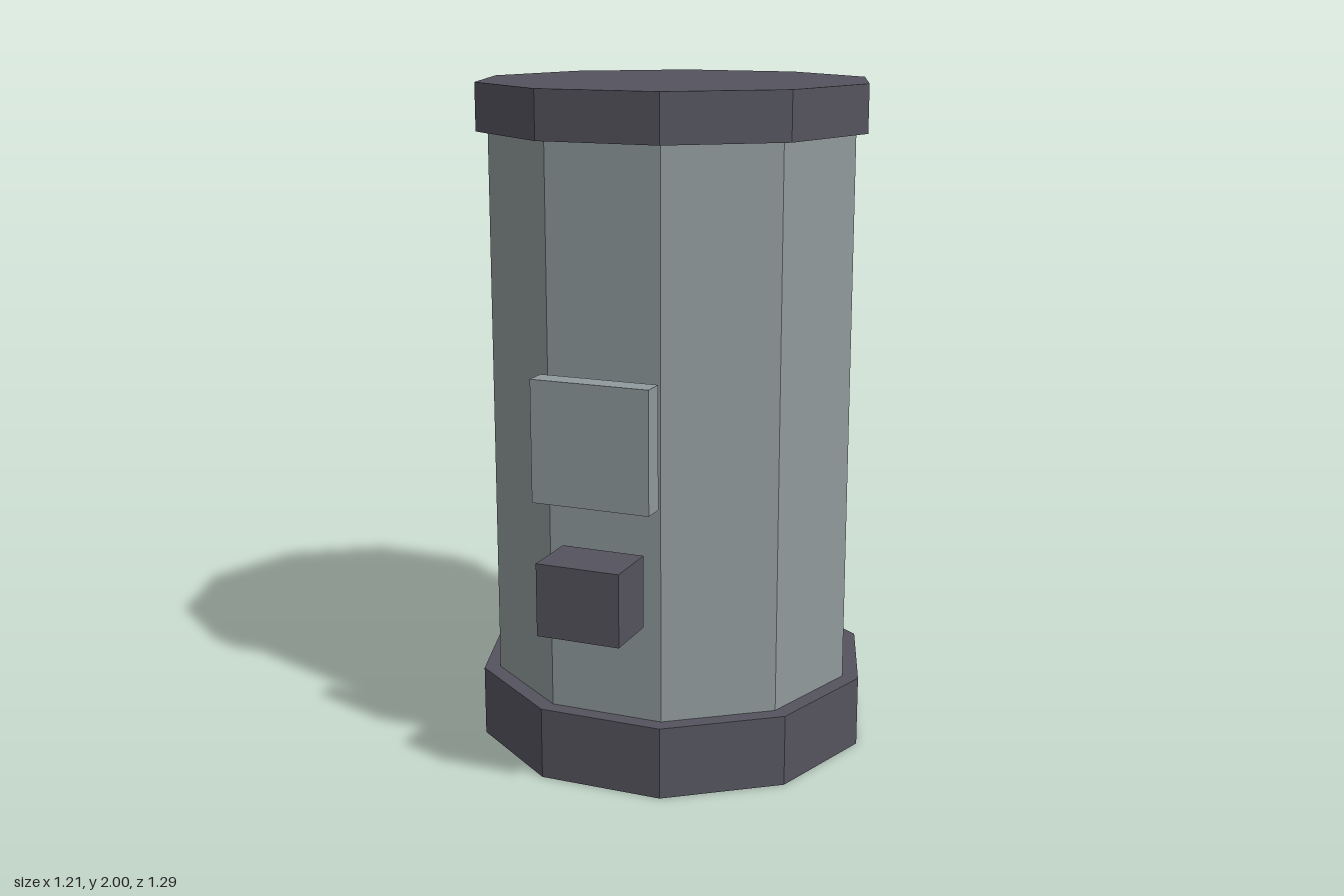
import * as THREE from 'three';

const SIDES = 10;
const AXIS_Z = -0.07; // the drum sits behind centre to balance the front fittings

export function createModel() {
  const model = new THREE.Group();
  model.name = 'canister';

  const steel = new THREE.MeshStandardMaterial({ color: 0x90999b, flatShading: true });
  steel.name = 'grey steel';
  const dark = new THREE.MeshStandardMaterial({ color: 0x55545e, flatShading: true });
  dark.name = 'dark metal';

  const add = (name, geometry, material, x, y, z) => {
    const mesh = new THREE.Mesh(geometry, material);
    mesh.name = name;
    mesh.position.set(x, y, z);
    model.add(mesh);
  };

  // Ten-sided drum with a flat side facing front
  const drum = (name, material, radius, y0, y1) => {
    const geometry = new THREE.CylinderGeometry(
      radius, radius, y1 - y0, SIDES, 1, false, Math.PI / SIDES);
    add(name, geometry, material, 0, (y0 + y1) / 2, AXIS_Z);
  };

  // Box given by its width and its y and z limits
  const box = (name, material, width, y0, y1, z0, z1) => {
    add(name, new THREE.BoxGeometry(width, y1 - y0, z1 - z0), material,
      0, (y0 + y1) / 2, (z0 + z1) / 2);
  };

  drum('base', dark, 0.605, 0, 0.215);
  drum('body', steel, 0.555, 0.215, 1.86);
  drum('lid', dark, 0.59, 1.86, 2);

  // Front fittings, standing slightly clear of the body
  box('frontPanel', steel, 0.355, 0.86, 1.215, 0.49, 0.558);
  box('frontLatch', dark, 0.25, 0.502, 0.715, 0.472, 0.647);

  return model;
}
